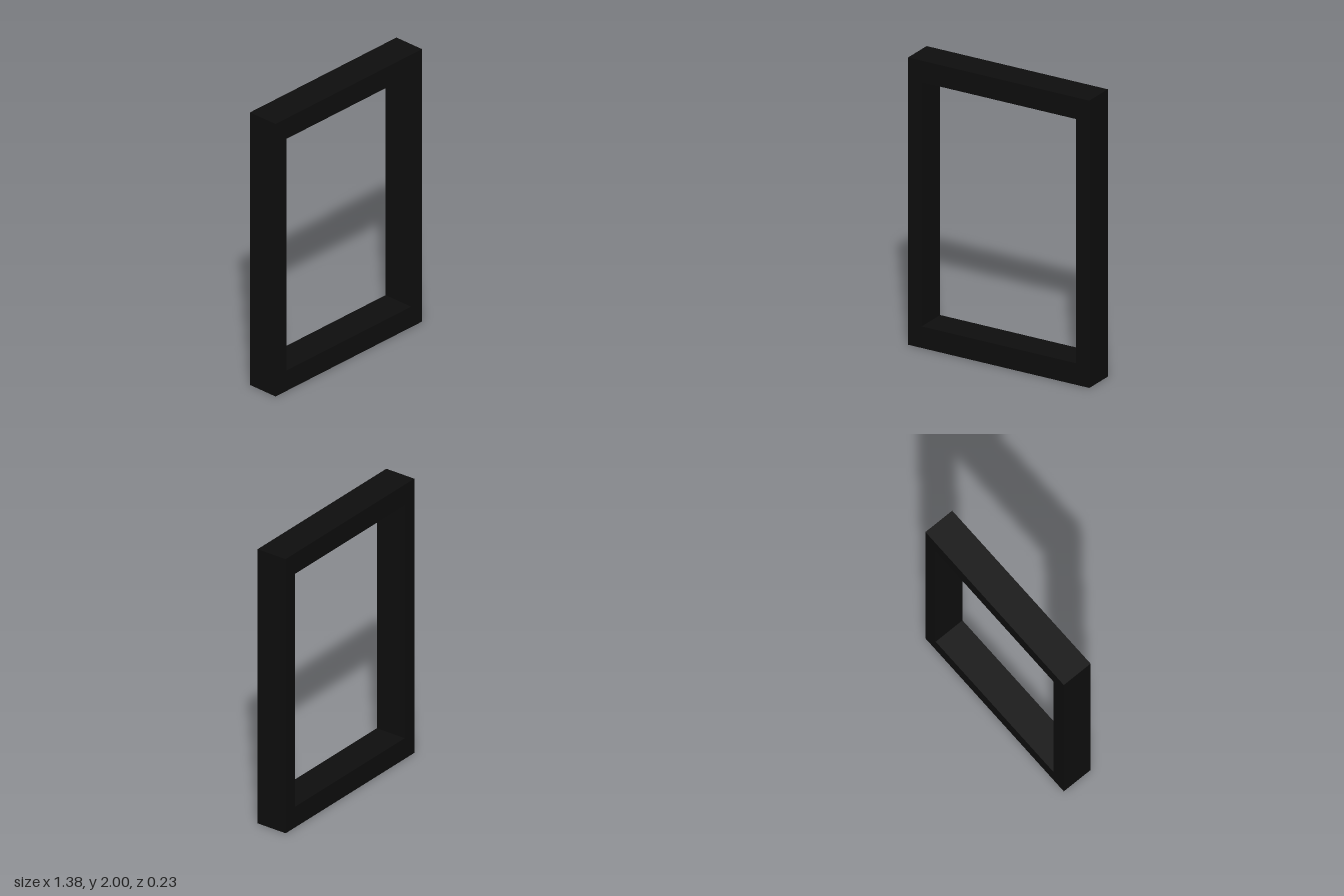
import * as THREE from 'three';

const WIDTH = 1.375, HEIGHT = 2, DEPTH = 0.226;
const SIDE = 0.102, RAIL = 0.15; // widths of the uprights and of the top and bottom rails

// Corner points of a rectangle centred on x = 0
const rectangle = (width, y0, y1) => [
  new THREE.Vector2(-width / 2, y0),
  new THREE.Vector2(width / 2, y0),
  new THREE.Vector2(width / 2, y1),
  new THREE.Vector2(-width / 2, y1),
];

export function createModel() {
  const group = new THREE.Group();
  group.name = 'rectangularFrame';

  // Open frame: outer rectangle with the opening cut through its full depth
  const outline = new THREE.Shape(rectangle(WIDTH, 0, HEIGHT));
  outline.holes.push(new THREE.Path(rectangle(WIDTH - 2 * SIDE, RAIL, HEIGHT - RAIL).reverse()));
  const geometry = new THREE.ExtrudeGeometry(outline, { depth: DEPTH, bevelEnabled: false });
  geometry.translate(0, 0, -DEPTH / 2);

  const frame = new THREE.Mesh(geometry, new THREE.MeshStandardMaterial({ color: 0x0d0d0d }));
  frame.name = 'frame';
  group.add(frame);
  return group;
}
